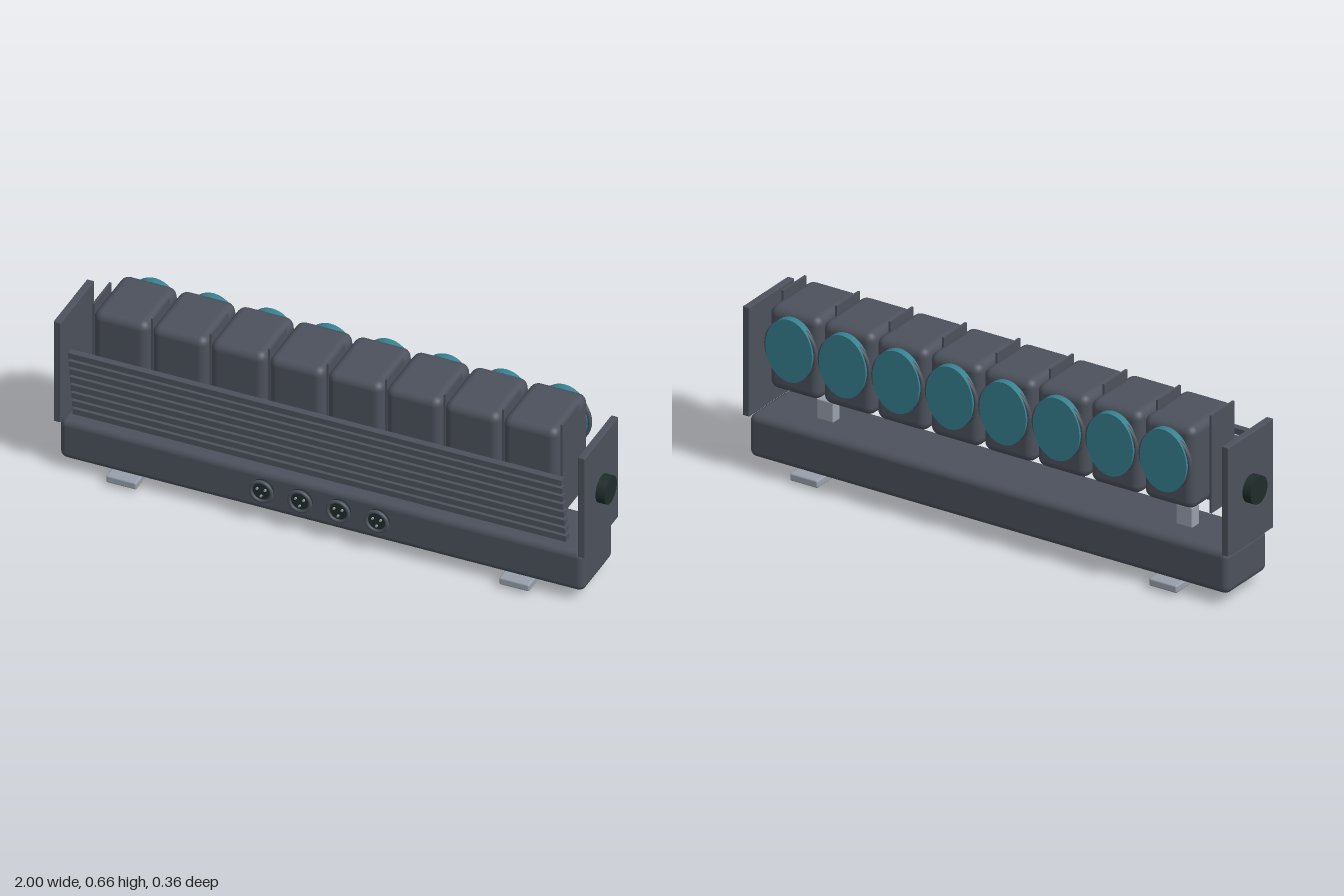
import * as THREE from 'three';
import { RoundedBoxGeometry } from 'three/addons/geometries/RoundedBoxGeometry.js';

const mat = (name, color) => {
  const m = new THREE.MeshStandardMaterial({ color });
  m.name = name;
  return m;
};

export function createModel() {
  const body = mat('slate grey', 0x4c515c);
  const dark = mat('near black green', 0x1f2c2b);
  const silver = mat('silver grey', 0x98a0ac);
  const teal = mat('teal glass', 0x36808f);

  const root = new THREE.Group();
  root.name = 'lightBar';

  const add = (name, geometry, material, x, y, z, parent = root) => {
    const mesh = new THREE.Mesh(geometry, material);
    mesh.name = name;
    mesh.position.set(x, y, z);
    parent.add(mesh);
    return mesh;
  };
  const group = (name, x = 0, y = 0, z = 0) => {
    const g = new THREE.Group();
    g.name = name;
    g.position.set(x, y, z);
    root.add(g);
    return g;
  };
  const box = (w, h, d) => new THREE.BoxGeometry(w, h, d);
  const rounded = (w, h, d, r) => new RoundedBoxGeometry(w, h, d, 3, r);
  // Disc whose axis runs along z
  const disc = (r, depth, sides = 32) => new THREE.CylinderGeometry(r, r, depth, sides).rotateX(Math.PI / 2);

  // Base housing
  add('base', rounded(1.91, 0.158, 0.242, 0.026), body, 0, 0.12, 0.01);

  // End brackets with tilt knobs, clamp feet and clamp posts
  for (const s of [-1, 1]) {
    const side = s > 0 ? 'left' : 'right';
    add(side + 'Bracket', rounded(0.026, 0.402, 0.27, 0.003), body, s * 0.954, 0.397, 0.01);
    add(side + 'Knob', new THREE.CylinderGeometry(0.05, 0.05, 0.045, 32).rotateZ(Math.PI / 2),
      dark, s * 0.9775, 0.397, 0.01);
    add(side + 'Foot', rounded(0.11, 0.028, 0.298, 0.006), silver, s * 0.715, 0.027, 0.01);
    add(side + 'FootPad', rounded(0.066, 0.03, 0.042, 0.008), silver, s * 0.715, 0.015, 0.01);
    add(side + 'Post', rounded(0.066, 0.09, 0.042, 0.005), silver, s * 0.715, 0.226, 0.01);
  }

  // Eight lamp heads with an oval lens and a round rim
  const pitch = 0.213;
  for (let i = 0; i < 8; i++) {
    const lamp = group('lampHead', (i - 3.5) * pitch, 0, 0);
    add('lampBox', rounded(0.203, 0.305, 0.258, 0.032), body, 0, 0.4925, -0.026, lamp);
    add('lensRim', new THREE.TorusGeometry(0.098, 0.008, 10, 40), body, 0, 0.515, -0.167, lamp);
    add('lens', disc(0.1145, 0.027, 40), teal, 0, 0.515, -0.1685, lamp).scale.x = 0.81;
  }

  // Cooling fins between and beside the lamp heads
  for (let i = 0; i < 9; i++) {
    add('fin', box(0.008, 0.36, 0.136), body, (i - 4) * pitch, 0.48, 0.01);
  }

  // Sloping row of front slats
  for (let i = 0; i < 8; i++) {
    add('slat', box(1.795, 0.022, 0.025), body, 0, 0.503 - i * 0.0355, 0.1695 - i * 0.0054);
  }

  // Four round connectors on the front of the base
  for (let i = 0; i < 4; i++) {
    const socket = group('socket', (i - 1.5) * 0.14, 0.13, 0);
    add('socketCore', disc(0.04, 0.02), dark, 0, 0, 0.135, socket);
    add('socketRim', new THREE.TorusGeometry(0.038, 0.0065, 10, 32), body, 0, 0, 0.147, socket);
    for (let k = 0; k < 3; k++) {
      const a = Math.PI / 6 + (k * Math.PI * 2) / 3;
      add('pin', disc(0.0045, 0.008, 10), silver, Math.cos(a) * 0.017, Math.sin(a) * 0.017, 0.147, socket);
    }
  }

  return root;
}
